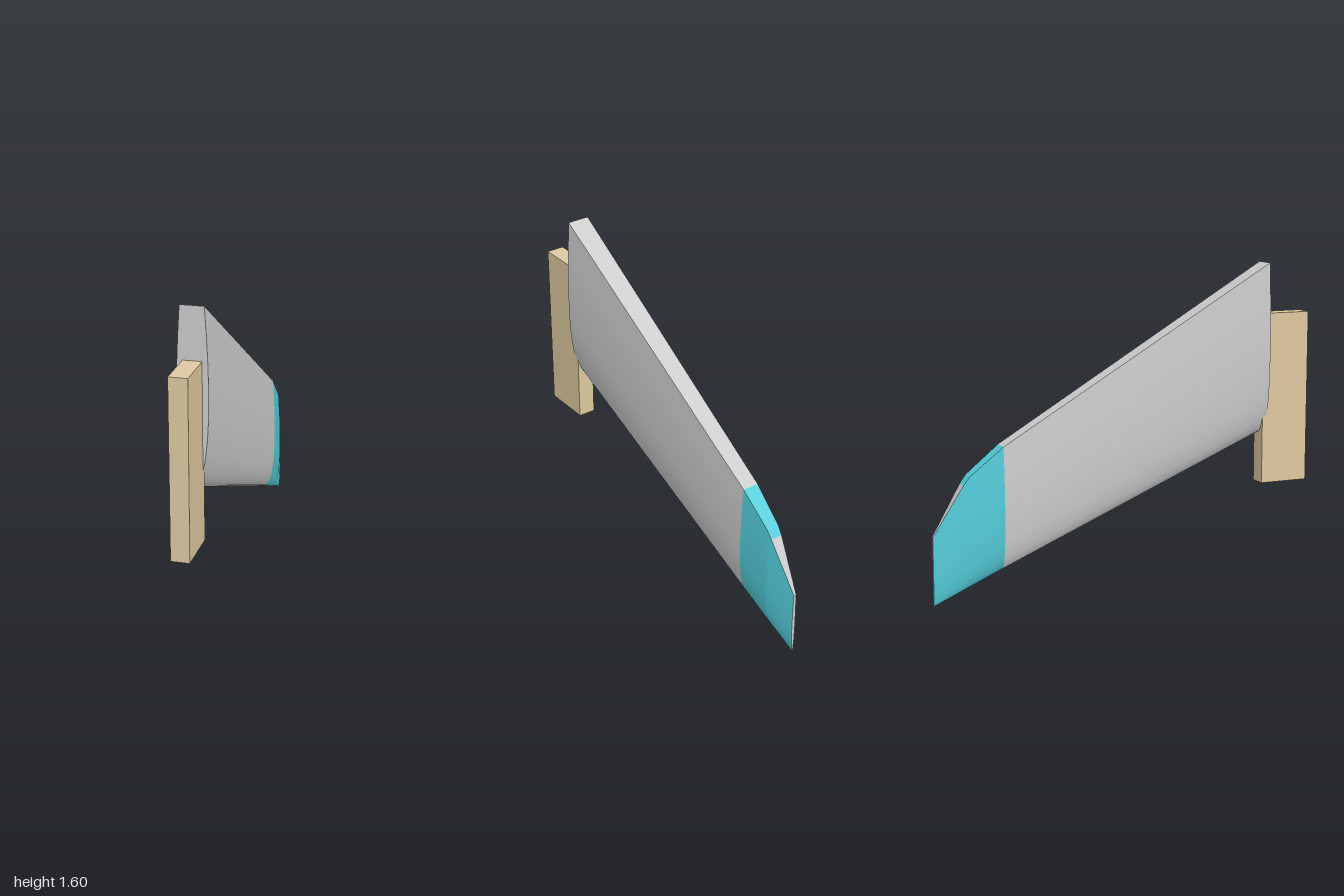
import * as THREE from 'three';

const grey = new THREE.MeshStandardMaterial({ color: 0xcccccc });
const teal = new THREE.MeshStandardMaterial({ color: 0x53cbd8 });
const tan = new THREE.MeshStandardMaterial({ color: 0xdec9a0 });

// Aerofoil half-thickness from the sharp lower edge (0) to the blunt upper edge (1)
const profile = [
  [0, 0], [0.01, 0.18], [0.03, 0.34], [0.06, 0.49], [0.09, 0.6], [0.14, 0.73], [0.2, 0.83],
  [0.28, 0.92], [0.38, 0.98], [0.53, 1], [0.68, 0.97], [0.84, 0.885], [1, 0.77],
];

// Stations along the span: z, lower y, upper y, greatest half-thickness
const root = [0.77, 0.743, 1.6, 0.074];
const joint = [-0.65, 0.153, 0.765, 0.054];
const bend = [-0.82, 0.08, 0.63, 0.043];
const corner = [-0.85, 0.067, 0.59, 0.04];
const end = [-1, 0.003, 0.345, 0.009];

const half = ([z, y0, y1, w], side) =>
  profile.map(([t, f]) => [side * w * f, y0 + (y1 - y0) * t, z]);

// Closed-nose outline, from the upper left edge round to the upper right edge
const outline = (s) => [...half(s, 1).reverse(), ...half(s, -1).slice(1)];

// Upper edge of a station, right to left
const upper = (s) => [half(s, -1).at(-1), half(s, 1).at(-1)];

// Rows of crosswise pairs filling a station's outline
const capRows = (s, side) => {
  const a = half(s, -side), b = half(s, side);
  return a.map((p, i) => [p, b[i]]);
};

// Surface through rows of points
function sheet(rows) {
  const n = rows[0].length, index = [];
  for (let r = 0; r < rows.length - 1; r++) {
    for (let c = 0; c < n - 1; c++) {
      const a = r * n + c, b = a + n;
      index.push(a, a + 1, b, a + 1, b + 1, b);
    }
  }
  const g = new THREE.BufferGeometry();
  g.setAttribute('position', new THREE.Float32BufferAttribute(rows.flat(2), 3));
  g.setIndex(index);
  g.computeVertexNormals();
  return g;
}

export function createModel() {
  const model = new THREE.Group();
  model.name = 'fin';
  const add = (name, geometry, material) => {
    const mesh = new THREE.Mesh(geometry, material);
    mesh.name = name;
    model.add(mesh);
    return mesh;
  };

  // Main blade
  add('bladeSkin', sheet([root, joint].map(outline)), grey);
  add('bladeUpperEdge', sheet([root, joint].map(upper)), grey);
  add('bladeRootCap', sheet(capRows(root, 1)), grey);

  // Coloured tip, with a plain chamfer and end
  add('tipSkin', sheet([joint, bend, corner, end].map(outline)), teal);
  add('tipUpperEdge', sheet([joint, bend, corner].map(upper)), teal);
  add('tipChamfer', sheet([corner, end].map(upper)), grey);
  add('tipEndCap', sheet(capRows(end, -1)), grey);

  // Mounting block at the root
  add('mountingBlock', new THREE.BoxGeometry(0.09, 0.875, 0.255), tan).position.set(0, 0.9075, 0.8725);

  return model;
}
